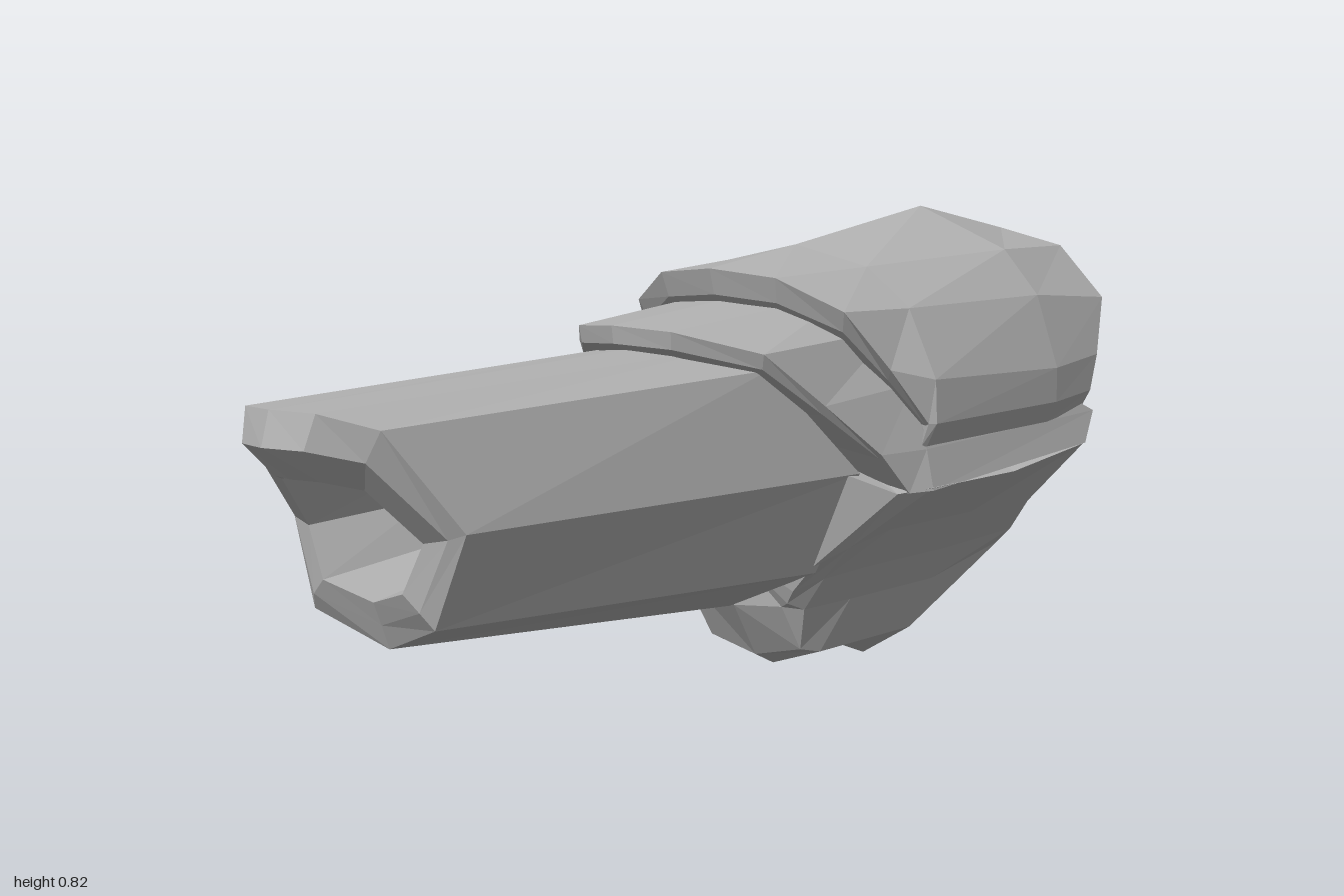
import * as THREE from 'three';
import { ConvexGeometry } from 'three/addons/geometries/ConvexGeometry.js';

// Lofts mirrored half sections (top centre -> +x side -> bottom centre),
// listed from front to back, and closes both ends with fans.
function loft(rows) {
  const rings = rows.map((half) => [
    ...half,
    ...half.slice(1, -1).reverse().map(([x, y, z]) => [-x, y, z]),
  ]);
  const n = rings[0].length;
  const pos = [];
  const tri = (a, b, c) => pos.push(...a, ...b, ...c);
  for (let i = 0; i < rings.length - 1; i++) {
    for (let j = 0; j < n; j++) {
      const k = (j + 1) % n;
      const a = rings[i][j], b = rings[i][k], c = rings[i + 1][j], d = rings[i + 1][k];
      tri(a, b, c);
      tri(b, d, c);
    }
  }
  const cap = (ring, front) => {
    const mid = [0, 1, 2].map((q) => ring.reduce((s, p) => s + p[q], 0) / n);
    for (let j = 0; j < n; j++) {
      const k = (j + 1) % n;
      if (front) tri(mid, ring[k], ring[j]);
      else tri(mid, ring[j], ring[k]);
    }
  };
  cap(rings[0], true);
  cap(rings[rings.length - 1], false);
  const g = new THREE.BufferGeometry();
  g.setAttribute('position', new THREE.Float32BufferAttribute(pos, 3));
  g.computeVertexNormals();
  return g;
}

// Shrinks a half section towards height cy; place() gives the new depth.
const inset = (row, cy, sx, sy, place) =>
  row.map(([x, y, z]) => [x * sx, cy + (y - cy) * sy, place(z)]);

// Puts a flat half section at one depth.
const at = (z, section) => section.map(([x, y]) => [x, y, z]);

export function createModel() {
  const group = new THREE.Group();
  const grey = new THREE.MeshStandardMaterial({ color: 0xb0b0b0 });
  grey.name = 'grey metal';
  const add = (name, geometry) => {
    const mesh = new THREE.Mesh(geometry, grey);
    mesh.name = name;
    group.add(mesh);
  };

  // Barrel: bore floor, bore mouth, slanted rim, outer edge, then back to the body
  const muzzle = [[0, .587, .985], [.075, .585, .965], [.135, .56, .9], [.187, .405, .79], [.13, .26, .8], [0, .21, .77]];
  add('barrel', loft([
    inset(muzzle, .405, .49, .45, () => .6),
    inset(muzzle, .37, .66, .53, (z) => .8 + (z - .77) * .7),
    inset(muzzle, .37, .88, .76, (z) => z + .015),
    muzzle,
    [[0, .622, .1], [.085, .612, .1], [.18, .582, .1], [.225, .395, -.09], [.178, .228, -.03], [0, .15, -.02]],
  ]));

  // Middle shell: diagonal stepped collar that runs back as a side skirt
  const collar = [[0, .657, .28], [.1, .65, .25], [.202, .612, .14], [.235, .52, .02], [.27, .43, -.09], [.285, .36, -.15], [0, .36, -.12]];
  add('middleShell', loft([
    inset(collar, .36, .97, .9, (z) => z - .004),
    collar,
    at(-.2, [[0, .7], [.12, .69], [.21, .63], [.255, .54], [.285, .43], [.3, .36], [0, .36]]),
    [[0, .7, -.54], [.12, .69, -.54], [.21, .63, -.54], [.25, .54, -.54], [.28, .445, -.75], [.295, .39, -.7], [0, .38, -.54]],
  ]));

  // Top shell: hood with a lip in front and an open recess behind
  const hoodFront = [[0, .737, .035], [.125, .725, .015], [.227, .67, -.04], [.265, .57, -.12], [.295, .475, -.19], [.28, .435, -.19], [0, .44, -.18]];
  const hoodRear = [[0, .775, -.855], [.14, .745, -.85], [.238, .65, -.845], [.28, .55, -.76], [.285, .485, -.73], [.27, .45, -.72], [0, .45, -.55]];
  add('topShell', loft([
    inset(hoodFront, .44, .95, .85, (z) => z - .012),
    hoodFront,
    at(-.2, [[0, .768], [.155, .735], [.245, .668], [.302, .55], [.305, .475], [.285, .435], [0, .44]]),
    at(-.58, [[0, .825], [.188, .75], [.26, .67], [.305, .54], [.305, .478], [.285, .44], [0, .44]]),
    hoodRear,
    inset(hoodRear, .45, .8, .78, (z) => z + .008),
    inset(hoodRear, .46, .72, .72, () => -.54),
  ]));

  // Lower body: tapers down into a keel with a V-shaped underside
  const keelRow = (z, edgeZ, keelY) => [
    ...at(z, [[0, .5], [.3, .365], [.21, .283], [.155, .21], [.125, .15]]),
    [.105, .063, edgeZ], [0, keelY, edgeZ],
  ];
  const bodyRear = [[0, .45, -.55], [.29, .388, -.7], [.21, .28, -.64], [.165, .22, -.65], [.13, .19, -.66], [.1, .172, -.665], [0, .165, -.665]];
  add('lowerBody', loft([
    [[0, .5, .05], [.215, .4, -.05], [.18, .24, -.02], [.13, .19, -.03], [.11, .165, -.04], [.09, .155, -.05], [0, .15, -.03]],
    [[0, .5, -.1], [.275, .36, -.13], [.2, .265, -.1], [.15, .205, -.09], [.12, .15, -.075], [.1, .075, -.09], [0, .052, -.09]],
    keelRow(-.2, -.14, .028),
    keelRow(-.3, -.29, .045),
    keelRow(-.45, -.41, 0),
    bodyRear,
    inset(bodyRear, .4, .8, .8, (z) => z + .01),
    inset(bodyRear, .4, .65, .7, () => -.55),
  ]));

  // Rear ball: twenty-sided, one corner pointing straight back
  const r = .2, ring = r * 2 / Math.sqrt(5);
  const pts = [new THREE.Vector3(0, 0, -r), new THREE.Vector3(0, 0, r)];
  for (let i = 0; i < 5; i++) {
    const a = i * Math.PI * 2 / 5;
    const x = Math.cos(a) * ring, y = Math.sin(a) * ring;
    pts.push(new THREE.Vector3(-x, y, -ring / 2), new THREE.Vector3(x, y, ring / 2));
  }
  add('rearBall', new ConvexGeometry(pts).translate(0, .445, -.8));

  return group;
}
